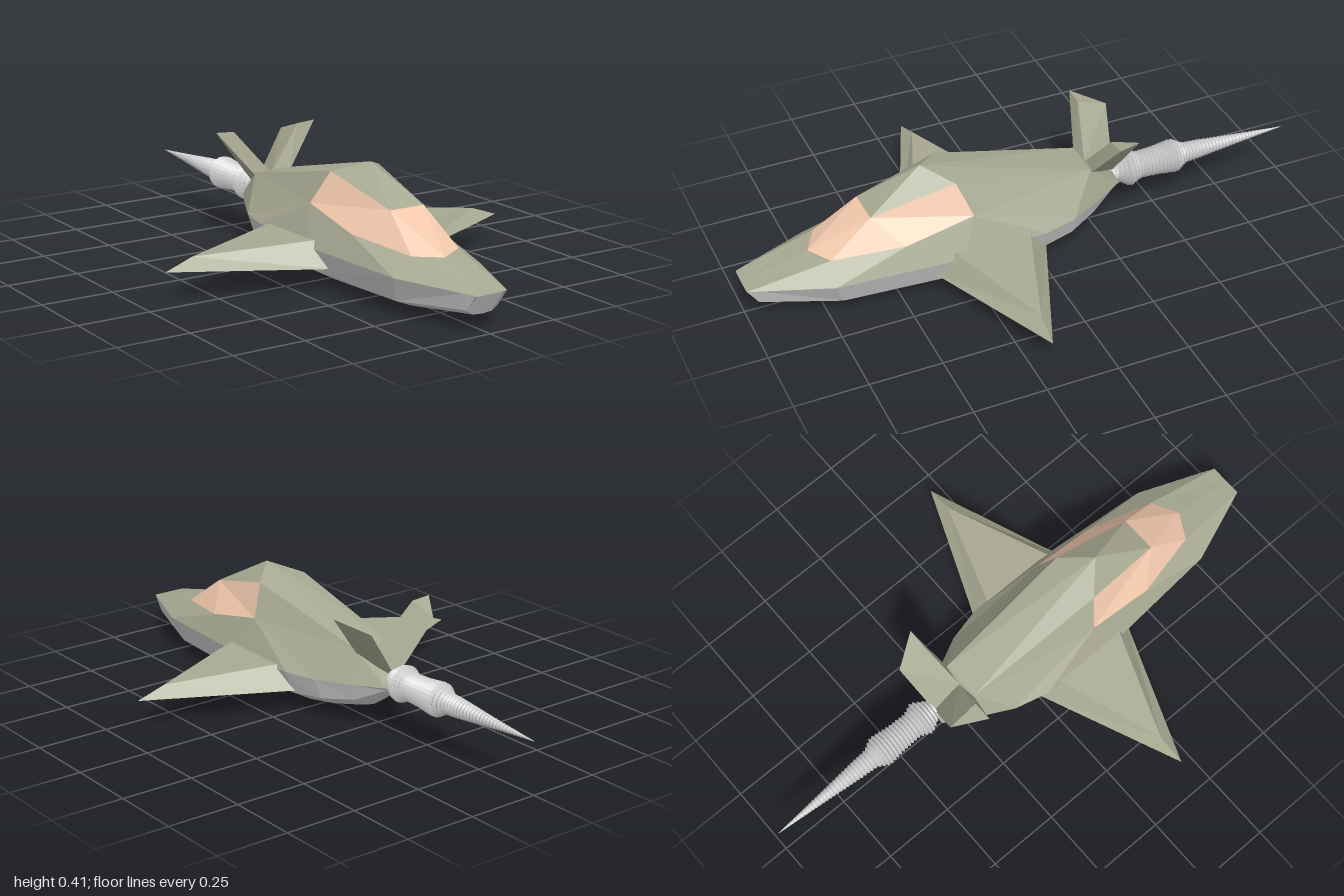
import * as THREE from 'three';

const paint = (color) =>
  new THREE.MeshStandardMaterial({ color, flatShading: true, side: THREE.DoubleSide });

// Flat facets from corner loops, each turned to face away from a centre point
function facets(name, faces, centre, material) {
  const pos = [];
  const c = new THREE.Vector3(...centre);
  const tri = new THREE.Triangle();
  const n = new THREE.Vector3();
  const mid = new THREE.Vector3();
  for (const face of faces) {
    for (let i = 1; i < face.length - 1; i++) {
      tri.a.set(...face[0]);
      tri.b.set(...face[i]);
      tri.c.set(...face[i + 1]);
      if (tri.getArea() < 1e-7) continue;
      tri.getNormal(n);
      tri.getMidpoint(mid).sub(c);
      const order = n.dot(mid) < 0 ? [tri.a, tri.c, tri.b] : [tri.a, tri.b, tri.c];
      for (const v of order) pos.push(v.x, v.y, v.z);
    }
  }
  const g = new THREE.BufferGeometry();
  g.setAttribute('position', new THREE.Float32BufferAttribute(pos, 3));
  g.computeVertexNormals();
  const mesh = new THREE.Mesh(g, material);
  mesh.name = name;
  return mesh;
}

const flip = ([x, y, z]) => [-x, y, z];
const both = (faces) => [...faces, ...faces.map((f) => f.map(flip))];

export function createModel() {
  const model = new THREE.Group();
  const olive = paint(0xa8a992);
  const grey = paint(0xcccccc);
  const glass = paint(0xf2c8ac);
  const core = [0, 0.15, 0.3];

  // Seam between upper hull and belly, nose to tail (left half)
  const seam = [
    [0.06, 0.13, 1], [0.076, 0.131, 0.96], [0.165, 0.135, 0.73], [0.2, 0.14, 0.3],
    [0.195, 0.15, 0], [0.165, 0.152, -0.12], [0.105, 0.155, -0.24], [0.045, 0.16, -0.345],
  ];
  const [nose, , s1, s2, s3, s4, s5, tail] = seam;

  // Canopy and roof corners
  const noseMid = [0, 0.13, 1];
  const glassLow = [0, 0.185, 0.77];
  const glassTop = [0, 0.3, 0.57];
  const w1 = [0.09, 0.19, 0.72];
  const w2 = [0.065, 0.3, 0.57];
  const w3 = [0.095, 0.372, 0.28];
  const w4 = [0.148, 0.265, 0.24];
  const w5 = [0.15, 0.215, 0.48];
  const peak = [0, 0.41, 0.37];
  const roof = [0.07, 0.265, -0.22];
  const roofMid = [0, 0.265, -0.22];
  const tailMid = [0, 0.165, -0.345];

  model.add(facets('upperHull', both([
    [noseMid, nose, w1, glassLow], [nose, s1, w1],
    [glassTop, w2, peak], [peak, w2, w3],
    [w1, s1, w5], [s1, s2, w5], [s2, w4, w5],
    [s2, s3, w4], [s3, s4, w4], [w4, s4, roof], [w3, w4, roof],
    [s4, s5, roof], [s5, tail, roof],
    [peak, w3, roof, roofMid], [roofMid, roof, tail, tailMid],
  ]), core, olive));
  model.add(facets('windshield', both([[glassLow, w1, w2, glassTop]]), core, glass));
  model.add(facets('sideWindows', both([[w2, w1, w5, w4, w3]]), core, glass));

  // Belly sections below the seam: chine x, chine y, low x, low y, keel y, z
  const sections = [
    [0.045, 0.127, 0.025, 0.126, 0.125, 1], [0.06, 0.075, 0.035, 0.058, 0.055, 0.96],
    [0.135, 0.05, 0.075, 0.025, 0.02, 0.7], [0.17, 0.055, 0.09, 0.012, 0.002, 0.3],
    [0.165, 0.07, 0.09, 0.028, 0.018, 0], [0.14, 0.08, 0.08, 0.047, 0.04, -0.12],
    [0.085, 0.095, 0.045, 0.068, 0.06, -0.23], [0.035, 0.15, 0.02, 0.144, 0.142, -0.34],
  ];
  const rings = sections.map(([cx, cy, lx, ly, ky, z], i) =>
    [seam[i], [cx, cy, z], [lx, ly, z], [0, ky, z]]);
  const belly = [];
  for (let i = 0; i < rings.length - 1; i++) {
    for (let j = 0; j < 3; j++) {
      const [a, b] = [rings[i], rings[i + 1]];
      belly.push([a[j], b[j], b[j + 1], a[j + 1]]);
    }
  }
  belly.push([...rings[rings.length - 1], tailMid]);
  model.add(facets('belly', both(belly), core, grey));

  // Wings: flat underside, bevelled edges and a smaller top panel
  const wing = (m) => {
    const front = [0.16, 0.08, 0.39], rear = [0.16, 0.08, -0.015], tip = [0.66, 0.1, 0.19];
    const upFront = [0.16, 0.167, 0.335], upRear = [0.16, 0.163, 0.045];
    const upTip = [0.56, 0.135, 0.185];
    return [[front, rear, tip], [upFront, upRear, upTip],
      [front, tip, upTip, upFront], [rear, tip, upTip, upRear]].map((f) => f.map(m));
  };
  // Tail fins: slanted wedge-section prisms meeting on the centre line
  const fin = (m) => {
    const low = [[0.065, 0.245, -0.22], [0, 0.25, -0.23], [0, 0.185, -0.34]];
    const top = [[0.2, 0.41, -0.265], [0.13, 0.405, -0.265], [0.13, 0.37, -0.372]];
    const sides = [0, 1, 2].map((i) => [low[i], low[(i + 1) % 3], top[(i + 1) % 3], top[i]]);
    return [low, top, ...sides].map((f) => f.map(m));
  };
  for (const [side, m, s] of [['left', (p) => p, 1], ['right', flip, -1]]) {
    model.add(facets(side + 'Wing', wing(m), [s * 0.3, 0.11, 0.18], olive));
    model.add(facets(side + 'TailFin', fin(m), [s * 0.09, 0.315, -0.285], olive));
  }

  // Exhaust plume: finely ribbed taper with two swellings
  const outline = [[0, 0.035], [0.05, 0.064], [0.09, 0.047], [0.16, 0.05], [0.23, 0.058],
    [0.27, 0.036], [0.32, 0.033], [0.45, 0.02], [0.66, 0.001]];
  const radiusAt = (d) => {
    const i = Math.max(1, outline.findIndex((p) => p[0] >= d));
    const [a, b] = [outline[i - 1], outline[i]];
    return THREE.MathUtils.mapLinear(d, a[0], b[0], a[1], b[1]);
  };
  const profile = [];
  const steps = 96;
  for (let i = 0; i <= steps; i++) {
    const d = (0.66 * i) / steps;
    profile.push(new THREE.Vector2(radiusAt(Math.min(d, 0.6599)) * (i % 2 ? 0.88 : 1.03), d));
  }
  const plume = new THREE.Mesh(new THREE.LatheGeometry(profile, 24).rotateX(-Math.PI / 2), grey);
  plume.name = 'exhaustPlume';
  plume.position.set(0.008, 0.183, -0.34);
  model.add(plume);

  return model;
}
